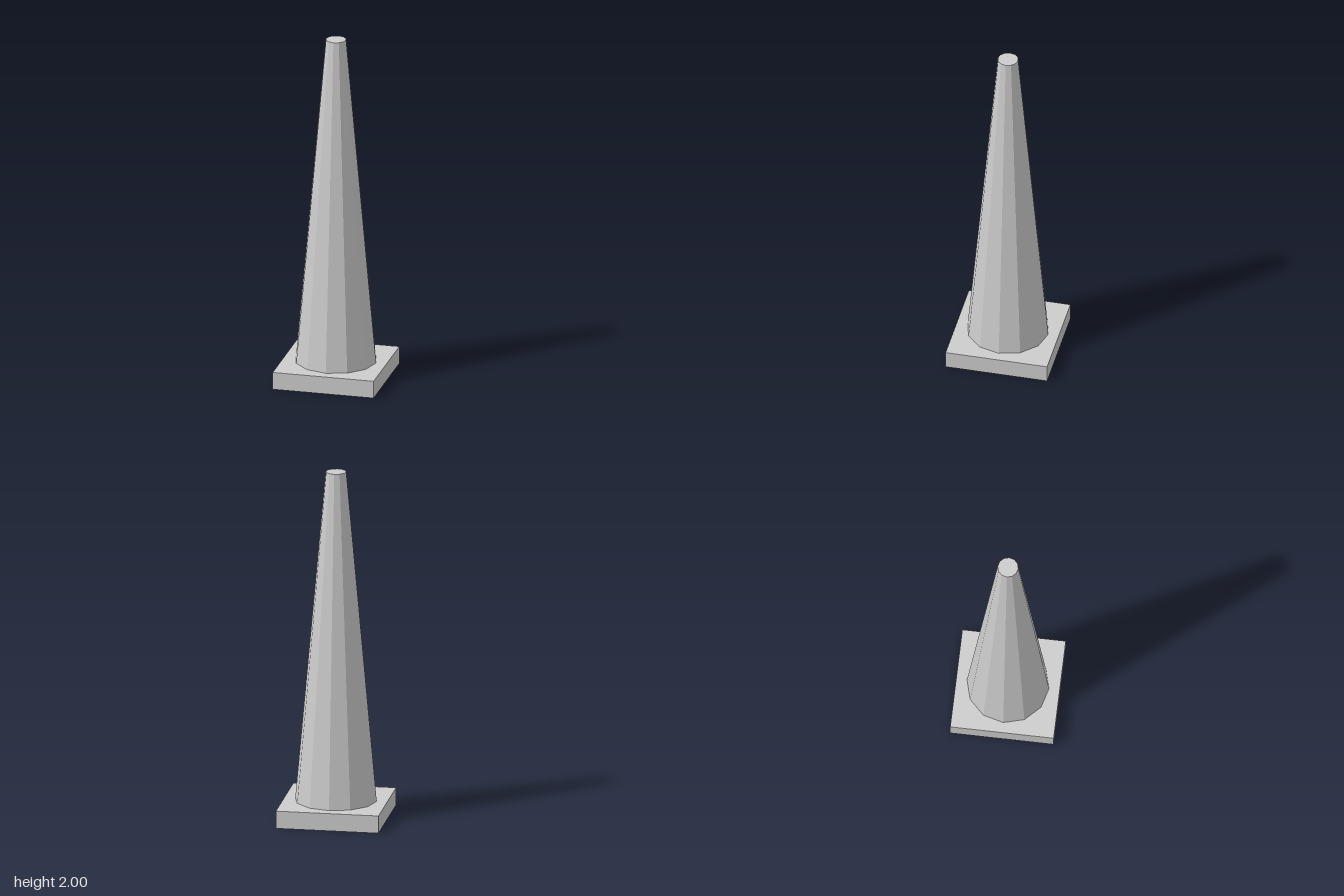
import * as THREE from 'three';

export function createModel() {
  const group = new THREE.Group();
  group.name = 'trafficCone';

  const grey = new THREE.MeshStandardMaterial({ color: 0xcccccc });
  grey.name = 'light grey';

  const add = (name, geometry, y) => {
    const mesh = new THREE.Mesh(geometry, grey);
    mesh.name = name;
    mesh.position.y = y;
    group.add(mesh);
  };

  const baseHeight = 0.1;
  const coneHeight = 2 - baseHeight;

  // Square foot plate
  add('base', new THREE.BoxGeometry(0.58, baseHeight, 0.58), baseHeight / 2);

  // Twelve-sided tapered body with a flat tip, faceted by unsharing its vertices
  const cone = new THREE.CylinderGeometry(0.058, 0.23, coneHeight, 12).toNonIndexed();
  cone.computeVertexNormals();
  add('coneBody', cone, baseHeight + coneHeight / 2);

  return group;
}
